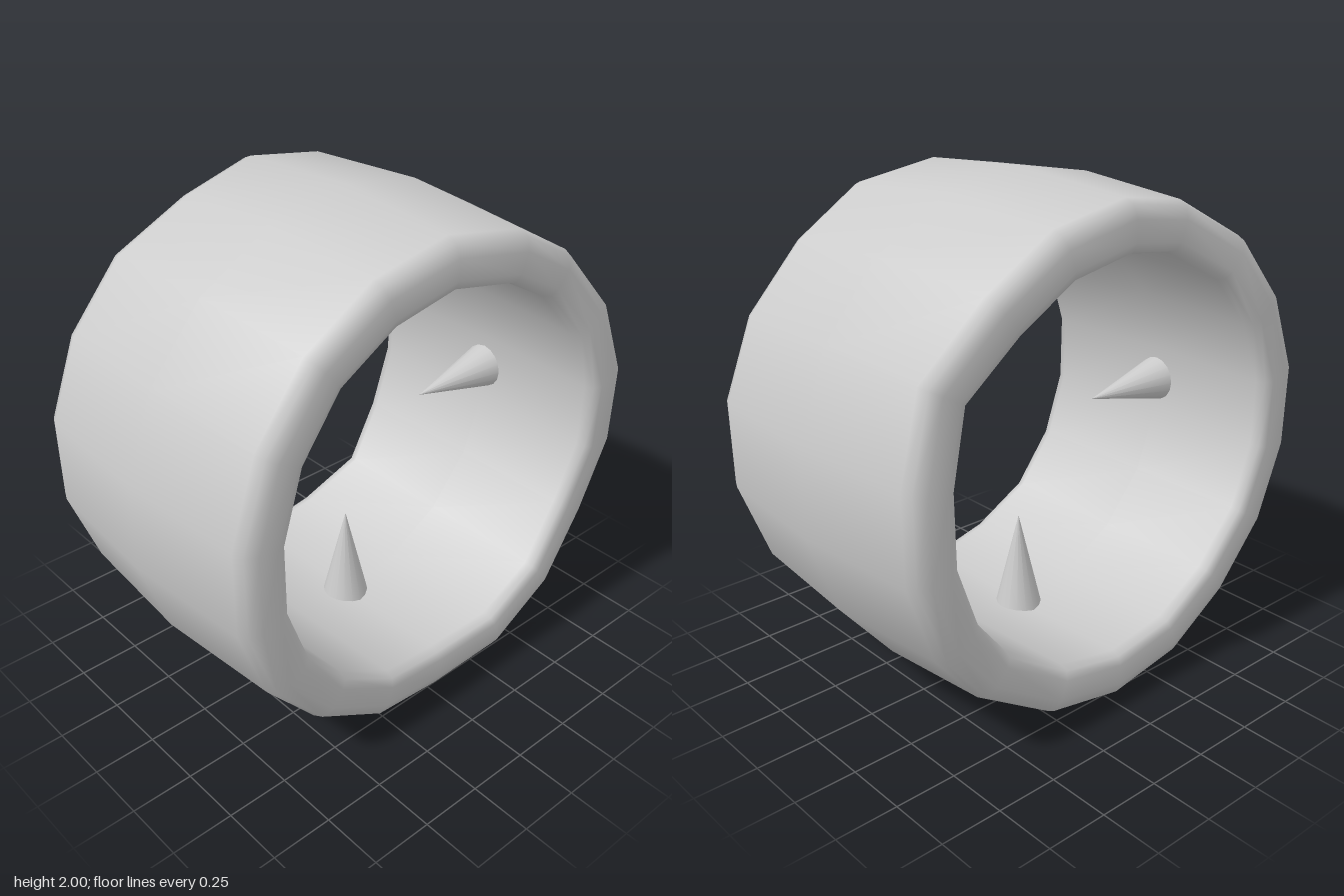
import * as THREE from 'three';

const SIDES = 18;
// Uneven rim depth at each corner, clockwise from the top
const FRONT = [.56, .59, .56, .585, .6, .59, .572, .595, .595, .56, .585, .58, .59, .595, .59, .575, .56, .56];
const BACK = [.595, .595, .595, .53, .58, .59, .585, .54, .585, .59, .59, .58, .585, .59, .597, .59, .585, .545];

// Closed wall section at one corner: [radius, z], outer middle -> front -> inner middle -> back
function section(front, back) {
  const lip = [[.965, .06], [.948, .022], [.9, 0], [.82, 0], [.787, .015], [.775, .05]];
  return [
    [1, 0],
    ...lip.map(([r, d]) => [r, front - d]),
    [.8, 0],
    ...lip.slice().reverse().map(([r, d]) => [r, d - back]),
  ];
}

function ringGeometry() {
  const pos = [], index = [];
  let n = 0;
  for (let k = 0; k < SIDES; k++) {
    const a = (k / SIDES) * Math.PI * 2;
    const pts = section(FRONT[k], BACK[k]);
    n = pts.length;
    for (const [r, z] of pts) pos.push(r * Math.sin(a), r * Math.cos(a), z);
  }
  for (let k = 0; k < SIDES; k++) {
    for (let j = 0; j < n; j++) {
      const k2 = (k + 1) % SIDES, j2 = (j + 1) % n;
      const a = k * n + j, b = k2 * n + j, c = k2 * n + j2, d = k * n + j2;
      index.push(a, d, c, a, c, b);
    }
  }
  const g = new THREE.BufferGeometry();
  g.setAttribute('position', new THREE.Float32BufferAttribute(pos, 3));
  g.setIndex(index);
  g.computeVertexNormals();
  return g;
}

export function createModel() {
  const model = new THREE.Group();
  model.name = 'spikedRing';
  const mat = new THREE.MeshStandardMaterial({ color: 0xcccccc });

  // Thick bevelled ring with a slight bulge and worn rims
  const ring = new THREE.Mesh(ringGeometry(), mat);
  ring.name = 'ring';
  ring.position.y = 1;
  model.add(ring);

  // Four spikes pointing inward, their bases sunk into the wall
  const cone = new THREE.ConeGeometry(.1, .42, 16);
  cone.translate(0, -.61, 0);
  for (let i = 0; i < 4; i++) {
    const spike = new THREE.Mesh(cone, mat);
    spike.name = 'spike' + (i + 1);
    spike.position.y = 1;
    spike.rotation.z = (i * Math.PI) / 2;
    model.add(spike);
  }
  return model;
}
